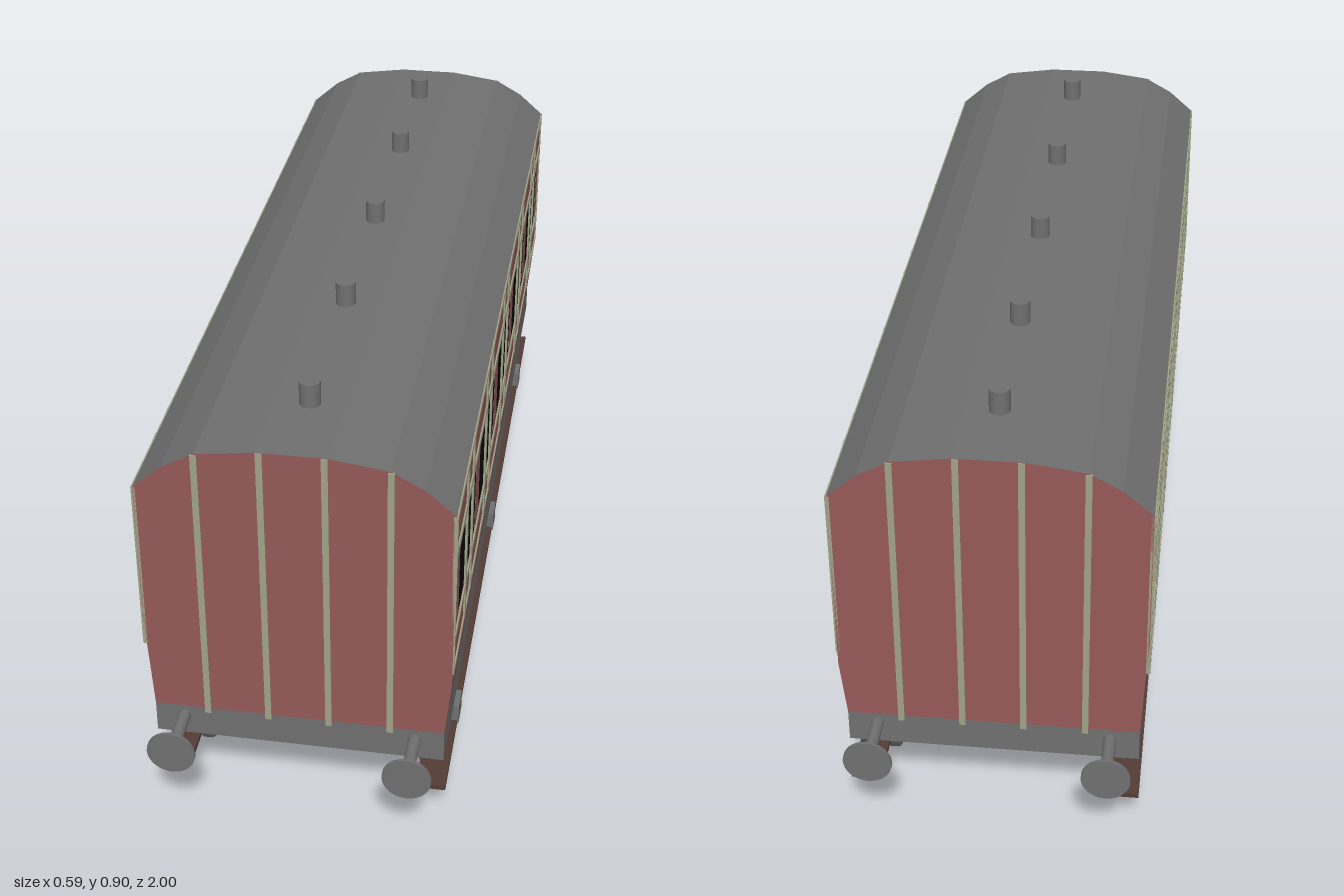
import * as THREE from 'three';

const mat = (name, color, side = THREE.FrontSide, flatShading = false) => {
  const m = new THREE.MeshStandardMaterial({ color, side, flatShading });
  m.name = name;
  return m;
};

export function createModel() {
  const red = mat('maroon paint', 0x965959, THREE.DoubleSide);
  const grey = mat('grey metal', 0x707070, THREE.DoubleSide, true);
  const cream = mat('cream lining', 0xa0a288);
  const black = mat('dark glass', 0x0b0b0b);
  const brown = mat('brown wood', 0x543c36);

  const model = new THREE.Group();
  model.name = 'railwayCarriage';

  const add = (name, geo, material, x = 0, y = 0, z = 0) => {
    const mesh = new THREE.Mesh(geo, material);
    mesh.name = name;
    mesh.position.set(x, y, z);
    model.add(mesh);
    return mesh;
  };
  const box = (name, material, w, h, d, x, y, z) =>
    add(name, new THREE.BoxGeometry(w, h, d), material, x, y, z);
  const rod = (name, r, length, axis, x, y, z, sides = 24) => {
    const g = new THREE.CylinderGeometry(r, r, length, sides);
    if (axis === 'x') g.rotateZ(Math.PI / 2);
    if (axis === 'z') g.rotateX(Math.PI / 2);
    return add(name, g, grey, x, y, z);
  };

  // Open strip of panels: a profile of (x, y) points swept along the length
  const L = 0.89;
  const sweep = (points) => {
    const pos = [];
    for (let i = 0; i < points.length - 1; i++) {
      const [ax, ay] = points[i], [bx, by] = points[i + 1];
      pos.push(ax, ay, L, bx, by, L, bx, by, -L, ax, ay, L, bx, by, -L, ax, ay, -L);
    }
    const g = new THREE.BufferGeometry();
    g.setAttribute('position', new THREE.Float32BufferAttribute(pos, 3));
    g.computeVertexNormals();
    return g;
  };

  const W = 0.29, eave = 0.757, floor = 0.257, footX = 0.278;
  const kink = { '-1': 0.47, '1': 0.375 };
  const roofLine = [[-W, eave], [-0.235, 0.805], [-0.175, 0.838], [-0.065, 0.853],
    [0.065, 0.853], [0.175, 0.838], [0.235, 0.805], [W, eave]];

  // Roof and vents
  add('roof', sweep([...roofLine].reverse()), grey);
  for (const z of [0.715, 0.337, -0.033, -0.402, -0.725]) {
    rod('roofVent', 0.02, 0.06, 'y', 0, 0.87, z);
  }

  // Underframe, its top is the floor
  box('underframe', grey, footX * 2, floor - 0.19, L * 2, 0, (floor + 0.19) / 2, 0);

  // End walls with upright lining
  const endShape = new THREE.Shape([[-footX, floor], [footX, floor], [W, kink[1]],
    ...[...roofLine].reverse(), [-W, kink[-1]]].map(([x, y]) => new THREE.Vector2(x, y)));
  for (const s of [-1, 1]) {
    const end = add('endWall', new THREE.ShapeGeometry(endShape), red, 0, 0, s * L);
    if (s < 0) {
      // Keep the uneven outline on the same sides while facing backwards
      end.geometry.scale(-1, 1, 1).rotateY(Math.PI);
      const index = end.geometry.index.array;
      for (let i = 0; i < index.length; i += 3) {
        [index[i], index[i + 1]] = [index[i + 1], index[i]];
      }
      end.geometry.computeVertexNormals();
    }
    for (const x of [-0.175, -0.058, 0.058, 0.175]) {
      const top = Math.abs(x) > 0.1 ? 0.836 : 0.852;
      box('endLining', cream, 0.012, top - 0.247, 0.006, x, (top + 0.247) / 2, s * L);
    }
  }

  // Side walls with window openings and lining
  const windows = [[0.553, 0.815], [0.206, 0.484], [-0.13, 0.136], [-0.473, -0.2], [-0.81, -0.543]];
  const sill = 0.488, head = 0.665;
  const rect = (Type, u0, u1, v0, v1) => new Type([[u0, v0], [u1, v0], [u1, v1], [u0, v1]]
    .map(([u, v]) => new THREE.Vector2(u, v)));
  for (const s of [-1, 1]) {
    const wall = rect(THREE.Shape, -L, L, kink[s], eave);
    for (const [z0, z1] of windows) {
      wall.holes.push(rect(THREE.Path, Math.min(-s * z0, -s * z1), Math.max(-s * z0, -s * z1), sill, head));
    }
    const upper = new THREE.ShapeGeometry(wall);
    upper.rotateY(s * Math.PI / 2);
    add('upperSideWall', upper, red, s * W);
    const lower = [[s * W, kink[s]], [s * footX, floor]];
    add('lowerSideWall', sweep(s > 0 ? lower.reverse() : lower), red);

    const liningX = s * 0.289;
    for (const [y, h] of [[0.75, 0.012], [0.667, 0.016], [0.48, 0.012], [0.406, 0.01]]) {
      box('sideLiningRail', cream, 0.008, h, L * 2, liningX, y, 0);
    }
    for (const z of [0.72, 0.625, 0.385, 0.29, 0.048, -0.048, -0.294, -0.385, -0.62, -0.714]) {
      box('sideLiningPost', cream, 0.009, 0.355, 0.017, liningX, 0.579, z);
    }
    for (const z of [-0.886, 0.886]) {
      box('cornerLining', cream, 0.008, 0.355, 0.008, liningX, 0.579, z);
    }
  }

  // Dark glass on the left side
  for (const [z0, z1] of windows) {
    const pane = new THREE.PlaneGeometry(z1 - z0, head - sill).rotateY(Math.PI / 2);
    add('windowGlass', pane, black, 0.2895, (head + sill) / 2, (z0 + z1) / 2);
  }

  // Buffers
  for (const sx of [-1, 1]) {
    for (const sz of [-1, 1]) {
      rod('bufferShaft', 0.012, 0.12, 'z', sx * 0.222, 0.235, sz * 0.939, 16);
      rod('bufferHead', 0.046, 0.006, 'z', sx * 0.222, 0.235, sz * 0.997, 32);
    }
  }

  // Wheels, axles, axle boxes and V-shaped springs
  const springShape = new THREE.Shape([[-0.2, 0.192], [0, 0.13], [0.2, 0.192],
    [0.12, 0.192], [0, 0.155], [-0.12, 0.192]].map(([u, v]) => new THREE.Vector2(u, v)));
  for (const z of [0.65, -0.02, -0.655]) {
    rod('axle', 0.012, 0.366, 'x', 0.002, 0.125, z, 16);
    for (const s of [-1, 1]) {
      rod('wheel', 0.121, 0.017, 'x', s * 0.223, 0.122, z, 40);
      box('axleBox', grey, 0.062, 0.044, 0.05, s > 0 ? 0.252 : -0.239, 0.114, z);
      const spring = new THREE.ExtrudeGeometry(springShape, { depth: 0.029, bevelEnabled: false });
      spring.translate(0, 0, -0.0145).rotateY(Math.PI / 2);
      add('spring', spring, grey, s > 0 ? 0.253 : -0.26, 0, z);
    }
  }

  // Footboards
  for (const s of [-1, 1]) {
    box('footboard', brown, 0.058, 0.01, 1.755, s * 0.251, 0.094, -0.0125);
  }

  return model;
}
